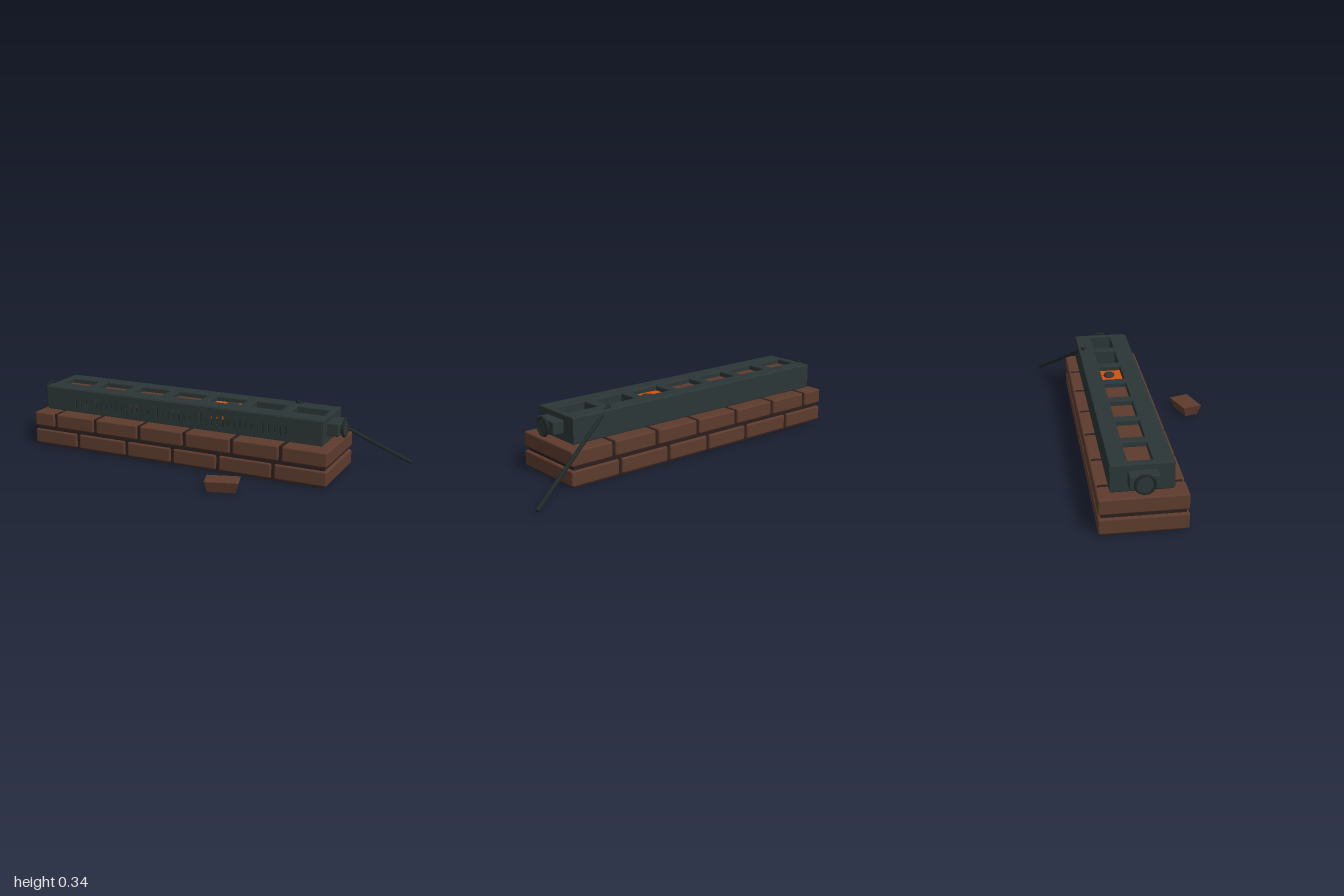
import * as THREE from 'three';
import { RoundedBoxGeometry } from 'three/addons/geometries/RoundedBoxGeometry.js';

const mat = (name, color, side = THREE.FrontSide) => new THREE.MeshStandardMaterial({ name, color, side });

// Rectangular path, used for outlines and for holes
function rect(Kind, x0, y0, x1, y1) {
  const p = new Kind();
  p.moveTo(x0, y0);
  p.lineTo(x1, y0);
  p.lineTo(x1, y1);
  p.lineTo(x0, y1);
  p.closePath();
  return p;
}

export function createModel() {
  const root = new THREE.Group();
  root.name = 'castingMould';
  const iron = mat('iron', 0x2c3636);
  const darkIron = mat('darkIron', 0x202828);
  const brick = mat('brick', 0x5d3b2d);
  const mortar = mat('mortar', 0x2b1f1d);
  const molten = mat('moltenMetal', 0xd4520f);

  const add = (name, geo, material, x = 0, y = 0, z = 0, parent = root) => {
    const m = new THREE.Mesh(geo, material);
    m.name = name;
    m.position.set(x, y, z);
    parent.add(m);
    return m;
  };

  // Brick plinth: two staggered courses around a mortar core
  add('mortarCore', new THREE.BoxGeometry(1.65, 0.18, 0.378), mortar, -0.13, 0.09, -0.0775);
  const courses = [
    { y: 0.048, joints: [-0.7, -0.4, -0.13, 0.13, 0.43] },
    { y: 0.145, joints: [-0.84, -0.592, -0.325, -0.06, 0.205, 0.468] },
  ];
  for (const { y, joints } of courses) {
    const edges = [-0.98, ...joints, 0.72];
    for (let i = 0; i + 1 < edges.length; i++) {
      const w = edges[i + 1] - edges[i] - 0.018;
      add('brick', new RoundedBoxGeometry(w, 0.077, 0.404, 2, 0.009), brick,
        (edges[i] + edges[i + 1]) / 2, y, -0.0775);
    }
  }

  // Mould body with seven open wells
  const wells = Array.from({ length: 7 }, (_, i) => -0.8 + i * 0.2243);
  const bodyShape = rect(THREE.Shape, -0.925, -0.058, 0.662, 0.223);
  for (const x of wells) bodyShape.holes.push(rect(THREE.Path, x - 0.087, 0.03, x + 0.087, 0.14));
  const bodyGeo = new THREE.ExtrudeGeometry(bodyShape, {
    depth: 0.12, bevelThickness: 0.006, bevelSize: 0.006, bevelOffset: -0.006, bevelSegments: 2,
  });
  bodyGeo.rotateX(-Math.PI / 2);
  add('mouldBody', bodyGeo, iron, 0, 0.196, 0);
  add('wellFloor', new THREE.BoxGeometry(1.56, 0.03, 0.14), iron, -0.13, 0.215, -0.085);

  // Cast bars, one still glowing, and a piece of slag on it
  wells.slice(0, 5).forEach((x, i) => {
    add(i < 4 ? 'castBar' : 'moltenBar', new THREE.BoxGeometry(0.173, 0.065, 0.109),
      i < 4 ? brick : molten, x, 0.264, -0.085);
  });
  const slag = add('slag', new THREE.SphereGeometry(1, 10, 8), iron, 0.12, 0.298, -0.095);
  slag.scale.set(0.038, 0.014, 0.029);
  slag.rotation.y = -0.25;

  // Front panel with a row of plain slots of uneven height
  const panelShape = rect(THREE.Shape, -0.92, 0.196, 0.657, 0.316);
  for (let i = 0; i < 40; i++) {
    const x = -0.745 + i * 0.0312;
    const low = 0.213 + ((i * 7) % 5) * 0.005;
    const high = 0.28 - ((i * 3) % 4) * 0.005;
    panelShape.holes.push(rect(THREE.Path, x, low, x + 0.009, high));
  }
  add('slottedPanel', new THREE.ExtrudeGeometry(panelShape, { depth: 0.009, bevelEnabled: false }),
    iron, 0, 0, 0.056);
  add('slotShadow', new THREE.BoxGeometry(1.27, 0.09, 0.003), darkIron, -0.13, 0.246, 0.058);
  add('slotGlow', new THREE.BoxGeometry(0.12, 0.02, 0.003), molten, 0.1, 0.27, 0.059);
  for (const x of [-0.59, -0.35, -0.1]) {
    add('slotBar', new THREE.BoxGeometry(0.11, 0.015, 0.003), brick, x, 0.272, 0.059);
  }

  // End trunnions: block, short shaft and rimmed disc
  for (const s of [-1, 1]) {
    const end = new THREE.Group();
    end.name = s > 0 ? 'leftTrunnion' : 'rightTrunnion';
    end.position.set(s > 0 ? 0.662 : -0.925, 0.26, -0.0775);
    end.scale.setScalar(1);
    root.add(end);
    add('block', new RoundedBoxGeometry(0.07, 0.066, 0.134, 2, 0.006), iron, s * 0.022, 0, 0, end);
    const shaft = add('shaft', new THREE.CylinderGeometry(0.036, 0.036, 0.04, 16), iron, s * 0.053, 0, 0, end);
    shaft.rotation.z = Math.PI / 2;
    const ring = add('rim', new THREE.TorusGeometry(0.043, 0.007, 8, 24), darkIron, s * 0.07, 0, 0, end);
    ring.rotation.y = Math.PI / 2;
  }

  // Stirring rod leaning on the back edge
  const a = new THREE.Vector3(0.432, 0.333, -0.192);
  const b = new THREE.Vector3(0.99, 0.014, -0.414);
  const rod = add('rod', new THREE.CylinderGeometry(0.01, 0.01, a.distanceTo(b), 10), darkIron);
  rod.position.copy(a).add(b).multiplyScalar(0.5);
  rod.quaternion.setFromUnitVectors(new THREE.Vector3(0, 1, 0), a.clone().sub(b).normalize());

  // Loose bar on the ground, narrower at its base
  const barGeo = new THREE.BoxGeometry(0.168, 0.055, 0.106).toNonIndexed();
  const p = barGeo.attributes.position;
  for (let i = 0; i < p.count; i++) {
    if (p.getY(i) < 0) p.setXYZ(i, p.getX(i) * 0.82, p.getY(i), p.getZ(i) * 0.7);
  }
  barGeo.computeVertexNormals();
  add('looseBar', barGeo, brick, 0.263, 0.0275, 0.346).rotation.y = 0.305;

  return root;
}
